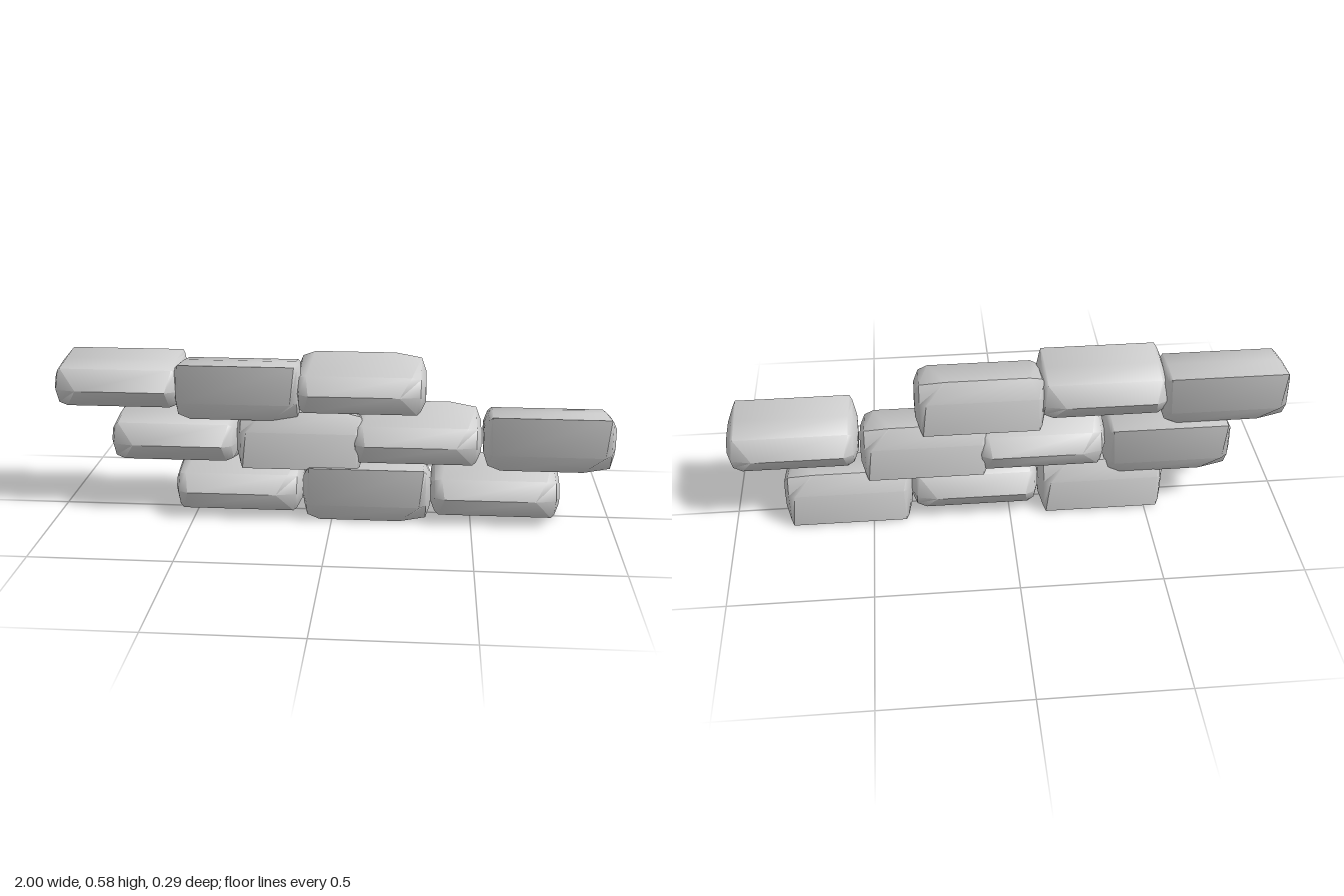
import * as THREE from 'three';
import { toCreasedNormals } from 'three/addons/utils/BufferGeometryUtils.js';

// Stone outline seen from its end: z, y, then where that edge starts and stops along x
const OUTLINE = [
  [0.135, 0.0, -0.18, 0.14],
  [0.095, 0.063, -0.19, 0.18],
  [-0.085, 0.107, -0.17, 0.12],
  [-0.122, 0.04, -0.2, 0.19],
  [-0.115, -0.097, -0.205, 0.205],
  [0.0, -0.088, -0.2, 0.2],
  [0.095, -0.072, -0.2, 0.2],
];

// One rough-hewn stone: outline swept along x with bulging ends
function stoneGeometry() {
  const scaled = (s, x) => OUTLINE.map(([z, y]) => [x, y * s, z * s]);
  const sections = [
    scaled(0, -0.232),
    scaled(0.5, -0.23),
    scaled(0.87, -0.215),
    OUTLINE.map(([z, y, x0]) => [x0, y, z]),
    OUTLINE.map(([z, y, , x1]) => [x1, y, z]),
    scaled(0.87, 0.213),
    scaled(0.5, 0.23),
    scaled(0, 0.232),
  ];
  const pos = [];
  const n = OUTLINE.length;
  const last = sections.length - 2;
  for (let i = 0; i <= last; i++) {
    for (let j = 0; j < n; j++) {
      const k = (j + 1) % n;
      const a = sections[i][j], b = sections[i + 1][j];
      const c = sections[i + 1][k], d = sections[i][k];
      if (i < last) pos.push(...a, ...b, ...c);
      if (i > 0) pos.push(...a, ...c, ...d);
    }
  }
  const geometry = new THREE.BufferGeometry();
  geometry.setAttribute('position', new THREE.Float32BufferAttribute(pos, 3));
  return toCreasedNormals(geometry, 0.95);
}

// Half turns that vary the same stone
const TURNS = {
  plain: [0, 0, 0],
  aboutX: [Math.PI, 0, 0],
  aboutY: [0, Math.PI, 0],
  aboutZ: [0, 0, Math.PI],
};

// Courses of the wall: turn, x, y, z of each stone
const COURSES = {
  bottomCourse: [
    ['plain', -0.338, 0.107, 0.005],
    ['aboutX', 0.125, 0.109, 0.008],
    ['plain', 0.585, 0.107, 0.005],
  ],
  middleCourse: [
    ['aboutZ', -0.573, 0.275, -0.015],
    ['aboutY', -0.115, 0.292, -0.01],
    ['plain', 0.3, 0.297, 0.003],
    ['aboutX', 0.768, 0.315, 0.012],
  ],
  topCourse: [
    ['aboutZ', -0.768, 0.475, -0.004],
    ['aboutX', -0.335, 0.479, 0.008],
    ['plain', 0.1, 0.478, 0.005],
  ],
};

export function createModel() {
  const model = new THREE.Group();
  model.name = 'stoneWallSection';
  const material = new THREE.MeshStandardMaterial({ color: 0xcccccc });
  const geometry = stoneGeometry();
  for (const [name, stones] of Object.entries(COURSES)) {
    const course = new THREE.Group();
    course.name = name;
    stones.forEach(([turn, x, y, z], i) => {
      const stone = new THREE.Mesh(geometry, material);
      stone.name = `stone${i + 1}`;
      stone.position.set(x, y, z);
      stone.rotation.set(...TURNS[turn]);
      course.add(stone);
    });
    model.add(course);
  }
  return model;
}
